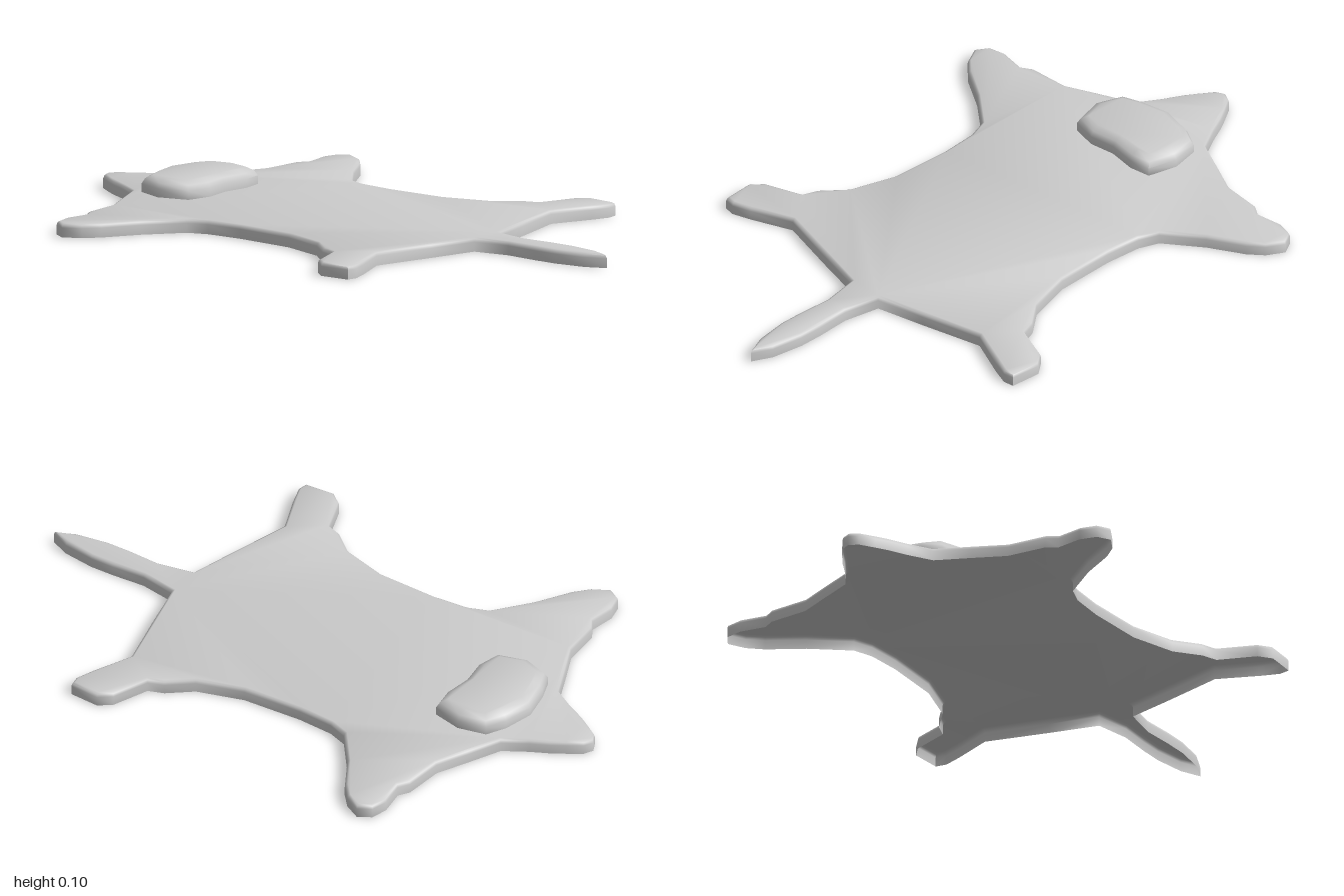
import * as THREE from 'three';
import { toCreasedNormals } from 'three/addons/utils/BufferGeometryUtils.js';

// Move a closed outline of [x, z] points inwards, keeping its corners mitred
function inset(outline, distance) {
  const n = outline.length;
  const inward = (a, b) => new THREE.Vector2(a[1] - b[1], b[0] - a[0]).normalize();
  return outline.map((p, i) => {
    const n1 = inward(outline[(i + n - 1) % n], p);
    const n2 = inward(p, outline[(i + 1) % n]);
    const k = distance / Math.max(0.5, 1 + n1.dot(n2));
    return [p[0] + (n1.x + n2.x) * k, p[1] + (n1.y + n2.y) * k];
  });
}

// Open-bottomed shell: walls rise through [inset, y] levels to a flat cap
function shell(name, outline, levels) {
  const n = outline.length, pos = [], index = [];
  const rings = levels.map(([d]) => inset(outline, d));
  rings.forEach((ring, r) => ring.forEach(([x, z]) => pos.push(x, levels[r][1], z)));
  for (let r = 0; r < rings.length - 1; r++) {
    for (let i = 0; i < n; i++) {
      const a = r * n + i, b = r * n + (i + 1) % n;
      index.push(a, a + n, b + n, a, b + n, b);
    }
  }
  const top = rings[rings.length - 1], start = (rings.length - 1) * n;
  const faces = THREE.ShapeUtils.triangulateShape(top.map(([x, z]) => new THREE.Vector2(x, z)), []);
  for (const [a, b, c] of faces) {
    const [A, B, C] = [top[a], top[b], top[c]];
    const up = (B[1] - A[1]) * (C[0] - A[0]) - (B[0] - A[0]) * (C[1] - A[1]) > 0;
    index.push(start + a, start + (up ? b : c), start + (up ? c : b));
  }
  const geometry = new THREE.BufferGeometry();
  geometry.setAttribute('position', new THREE.Float32BufferAttribute(pos, 3));
  geometry.setIndex(index);
  const material = new THREE.MeshStandardMaterial({ color: 0xcccccc, side: THREE.DoubleSide });
  const mesh = new THREE.Mesh(toCreasedNormals(geometry, 1.2), material);
  mesh.name = name;
  return mesh;
}

// Complete a half outline whose first and last points lie on x = 0
const mirrored = half => [...half, ...half.slice(1, -1).reverse().map(([x, z]) => [-x, z])];

export function createModel() {
  const group = new THREE.Group();
  group.name = 'hideRug';

  const hide = mirrored([
    // pointed neck end
    [0, -1], [0.03, -0.985], [0.06, -0.94], [0.085, -0.9], [0.115, -0.84], [0.16, -0.765],
    // front leg
    [0.27, -0.715], [0.37, -0.668], [0.5, -0.658], [0.535, -0.636], [0.62, -0.65], [0.675, -0.637],
    [0.7, -0.595], [0.67, -0.54], [0.625, -0.5], [0.515, -0.435],
    // flank
    [0.4, -0.345], [0.376, -0.28], [0.367, -0.16], [0.375, 0.04], [0.42, 0.19], [0.482, 0.265],
    // hind leg
    [0.5, 0.315], [0.62, 0.36], [0.652, 0.4], [0.645, 0.5], [0.61, 0.506], [0.55, 0.485], [0.42, 0.43],
    // rump and tail
    [0.22, 0.483], [0.062, 0.522], [0.04, 0.64], [0.046, 0.75], [0.046, 0.83], [0.03, 0.935], [0, 1],
  ]);
  group.add(shell('hide', hide, [[0, 0], [0, 0.03], [0.003, 0.039], [0.01, 0.043]]));

  // Padded head lying on the neck end, slightly lopsided
  const head = [
    [0, -0.767], [0.1, -0.745], [0.163, -0.712], [0.183, -0.62], [0.16, -0.525], [0.09, -0.513],
    [0, -0.525], [-0.085, -0.511], [-0.168, -0.53], [-0.197, -0.63], [-0.165, -0.72], [-0.1, -0.745],
  ];
  group.add(shell('head', head, [[0, 0.043], [0, 0.07], [0.01, 0.086], [0.032, 0.098]]));

  return group;
}
